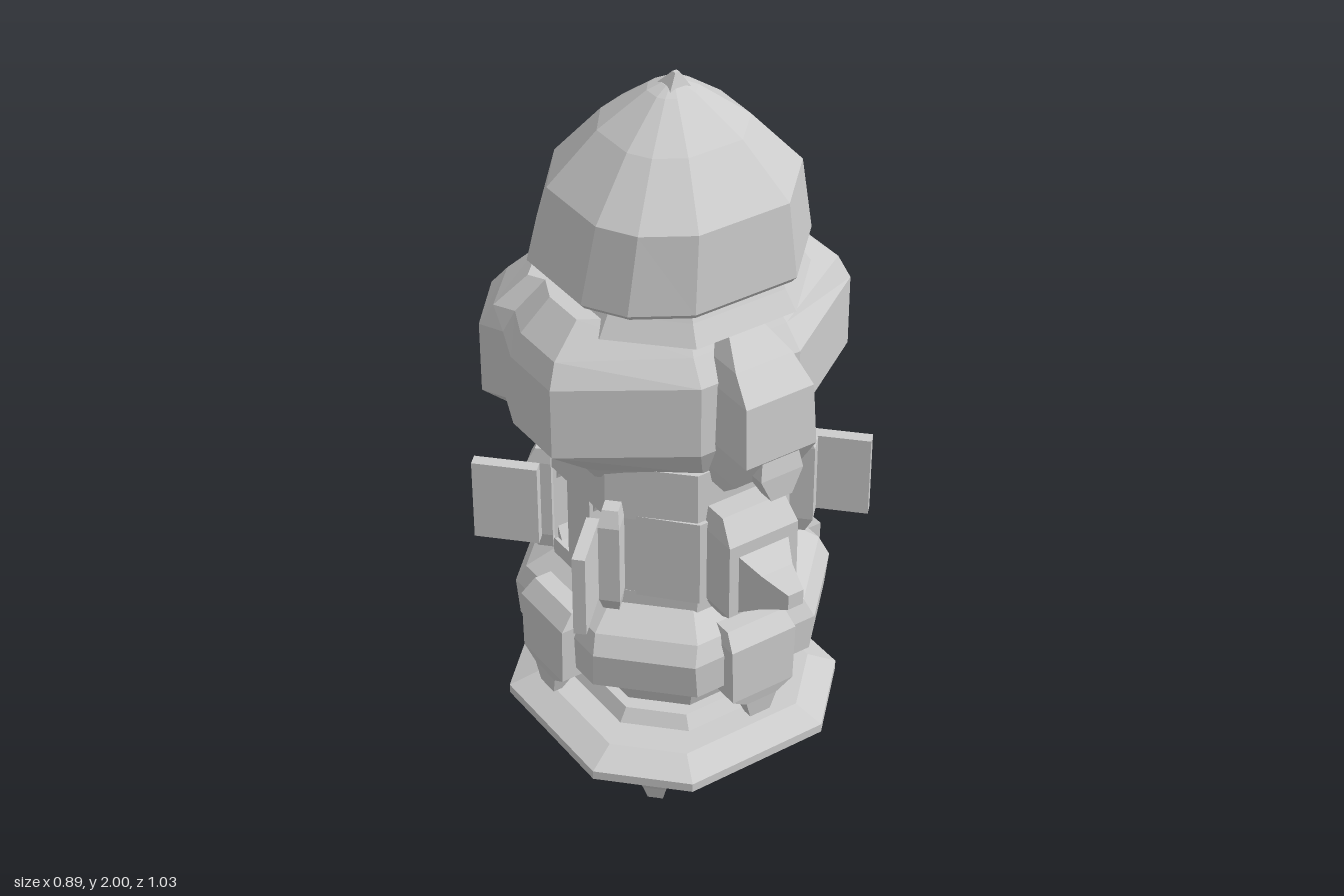
import * as THREE from 'three';

const stone = new THREE.MeshStandardMaterial({ color: 0xcccccc, flatShading: true });
stone.name = 'paleStone';

// Solid from stacked cross-sections: rings = [[y, [[x, z], ...]], ...] from bottom to top
function loft(rings) {
  const pos = [];
  const tri = (...p) => p.forEach(v => pos.push(...v));
  const loops = rings.map(([y, pts]) => pts.map(([x, z]) => [x, y, z]));
  const n = loops[0].length;
  const centre = l => [0, 1, 2].map(k => l.reduce((s, p) => s + p[k], 0) / n);
  const low = loops[0], high = loops[loops.length - 1];
  const c0 = centre(low), c1 = centre(high);
  for (let i = 0; i < n; i++) {
    const j = (i + 1) % n;
    for (let k = 0; k < loops.length - 1; k++) {
      const a = loops[k][i], b = loops[k][j], c = loops[k + 1][j], d = loops[k + 1][i];
      tri(a, d, c); tri(a, c, b);
    }
    tri(c0, low[i], low[j]);
    tri(c1, high[j], high[i]);
  }
  const g = new THREE.BufferGeometry();
  g.setAttribute('position', new THREE.Float32BufferAttribute(pos, 3));
  g.computeVertexNormals();
  return g;
}

// Plan shapes, all running from +x towards +z
const oct = (a, b) =>
  [[a, -b], [a, b], [b, a], [-b, a], [-a, b], [-a, -b], [-b, -a], [b, -a]];
const rect = (hw, z0, z1) => [[hw, z0], [hw, z1], [-hw, z1], [-hw, z0]];
const scaled = (pts, s, sz = s, dz = 0) => pts.map(([x, z]) => [x * s, z * sz + dz]);

export function createModel() {
  const model = new THREE.Group();
  const add = (name, geo, ry = 0) => {
    const m = new THREE.Mesh(geo, stone);
    m.name = name;
    m.rotation.y = ry;
    model.add(m);
    return m;
  };

  // Four tapered feet on the diagonals
  for (let i = 0; i < 4; i++) {
    add('foot', loft([
      [0, rect(0.02, 0.205, 0.25)],
      [0.04, rect(0.03, 0.195, 0.26)],
      [0.1, rect(0.045, 0.16, 0.29)],
      [0.15, rect(0.08, 0.11, 0.33)],
    ]), Math.PI / 4 + i * Math.PI / 2);
  }

  // Octagonal base plate with collar and flaring pedestal
  add('basePlate', loft([
    [0.13, oct(0.16, 0.07)], [0.155, oct(0.28, 0.13)], [0.175, oct(0.345, 0.18)],
    [0.19, oct(0.38, 0.2)], [0.215, oct(0.38, 0.2)], [0.25, oct(0.31, 0.17)],
  ]));
  add('collar', loft([[0.24, oct(0.25, 0.12)], [0.285, oct(0.22, 0.11)]]));
  add('pedestal', loft([[0.27, oct(0.19, 0.08)], [0.46, oct(0.25, 0.1)]]));

  // Lower ring with four clawed keystones
  add('lowerRing', loft([
    [0.43, oct(0.25, 0.14)], [0.47, oct(0.355, 0.17)],
    [0.57, oct(0.36, 0.18)], [0.62, oct(0.34, 0.16)], [0.68, oct(0.26, 0.12)],
  ]));
  for (let i = 0; i < 4; i++) {
    add('clawedKeystone', loft([
      [0.36, rect(0.03, 0.36, 0.385)],
      [0.41, rect(0.045, 0.325, 0.39)],
      [0.44, rect(0.09, 0.24, 0.395)],
      [0.6, rect(0.095, 0.24, 0.395)],
      [0.64, rect(0.085, 0.24, 0.36)],
    ]), i * Math.PI / 2);
  }

  // Core: solid ends, and walls leaving two see-through slots from side to side
  add('coreBottom', loft([[0.6, oct(0.28, 0.12)], [0.71, oct(0.28, 0.12)]]));
  add('coreTop', loft([[0.93, oct(0.28, 0.12)], [1.08, oct(0.28, 0.12)]]));
  const half = [[0.28, 0.115], [0.12, 0.29], [-0.12, 0.29], [-0.28, 0.115]];
  for (const ry of [0, Math.PI]) {
    add('coreWall', loft([[0.7, half], [0.94, half]]), ry);
    // Chamfers that round the slot corners
    for (const edge of [0.05, 0.115]) {
      const strip = w => edge < 0.1 ? rect(0.27, edge, edge + w) : rect(0.27, edge - w, edge);
      add('slotCorner', loft([[0.7, strip(0.022)], [0.745, strip(0.001)]]), ry);
      add('slotCorner', loft([[0.895, strip(0.001)], [0.94, strip(0.022)]]), ry);
    }
  }
  add('corePost', loft([[0.7, rect(0.28, -0.05, 0.05)], [0.94, rect(0.28, -0.05, 0.05)]]));

  // Four thin diagonal panels with small brackets
  for (const sx of [-1, 1]) for (const sz of [-1, 1]) {
    const fin = add('sidePanel', new THREE.BoxGeometry(0.165, 0.225, 0.032), -Math.atan2(sz, sx));
    fin.position.set(sx * 0.375, 0.83, sz * 0.182);
    const bracket = add('panelBracket', loft([
      [0.68, rect(0.02, -0.03, 0.01)], [0.72, rect(0.026, -0.03, 0.03)],
      [0.94, rect(0.026, -0.03, 0.03)], [0.98, rect(0.02, -0.03, 0.01)],
    ]), Math.atan2(sx, sz));
    bracket.position.set(sx * 0.287, 0, sz * 0.157);
  }

  // Front and back boxes, each with an outward spike
  for (const ry of [0, Math.PI]) {
    add('spikeBox', loft([
      [0.67, rect(0.08, 0.26, 0.33)], [0.71, rect(0.1, 0.26, 0.385)],
      [0.92, rect(0.1, 0.26, 0.385)], [0.98, rect(0.09, 0.26, 0.34)],
    ]), ry);
    const spike = loft([
      [0.36, rect(0.085, -0.09, 0.11)],
      [0.44, rect(0.045, -0.04, 0.06)],
      [0.517, rect(0.022, -0.022, 0.02)],
    ]);
    spike.rotateX(Math.PI / 2);
    spike.translate(0, 0.81, 0);
    add('spike', spike, ry);
  }

  // Heavy upper ring, with shoulders and a merged prow at the back
  const upper = [[0.43, -0.04], [0.43, 0.13], [0.14, 0.32], [-0.14, 0.32], [-0.43, 0.13], [-0.43, -0.04],
    [-0.39, -0.14], [-0.42, -0.2], [-0.3, -0.34], [-0.17, -0.34], [-0.09, -0.445],
    [0.09, -0.445], [0.17, -0.34], [0.3, -0.34], [0.42, -0.2], [0.39, -0.14]];
  add('upperRing', loft([
    [1.04, scaled(upper, 0.68, 0.76)], [1.08, scaled(upper, 0.74, 0.86)],
    [1.17, scaled(upper, 1)], [1.36, scaled(upper, 1)],
    [1.42, scaled(upper, 0.94, 0.86)], [1.495, scaled(upper, 0.76, 0.68)],
  ]));
  // Front block of the upper ring
  add('upperBlock', loft([
    [1.05, rect(0.08, 0.2, 0.33)], [1.1, rect(0.09, 0.2, 0.39)],
    [1.19, rect(0.1, 0.2, 0.445)], [1.35, rect(0.095, 0.2, 0.435)],
    [1.41, rect(0.08, 0.2, 0.37)], [1.46, rect(0.05, 0.2, 0.3)],
  ]));
  for (const ry of [0, Math.PI]) {
    add('blockHook', loft([
      [1.075, rect(0.03, 0.41, 0.45)], [1.14, rect(0.06, 0.36, 0.45)], [1.2, rect(0.05, 0.36, 0.44)],
    ]), ry);
  }

  // Neck and faceted dome
  add('neck', loft([[1.46, oct(0.3, 0.14)], [1.51, oct(0.27, 0.13)], [1.55, oct(0.25, 0.12)]]));
  const dome = [[0.32, -0.12], [0.31, 0.12], [0.15, 0.28], [-0.13, 0.28], [-0.26, 0.2], [-0.32, 0.1],
    [-0.32, -0.13], [-0.2, -0.28], [-0.05, -0.33], [0.13, -0.31], [0.27, -0.22]];
  add('dome', loft([
    [1.525, scaled(dome, 0.97)], [1.54, scaled(dome, 1.01)],
    [1.74, scaled(dome, 0.89, 0.9, 0.02)], [1.87, scaled(dome, 0.53, 0.54, 0.01)],
    [1.955, scaled(dome, 0.18, 0.18)], [1.97, scaled(dome, 0.08)],
  ]));
  add('domeTip', loft([
    [1.91, rect(0.05, -0.05, 0.05)], [1.96, rect(0.03, -0.03, 0.03)], [2, rect(0.006, 0.004, 0.016)],
  ]));
  return model;
}
